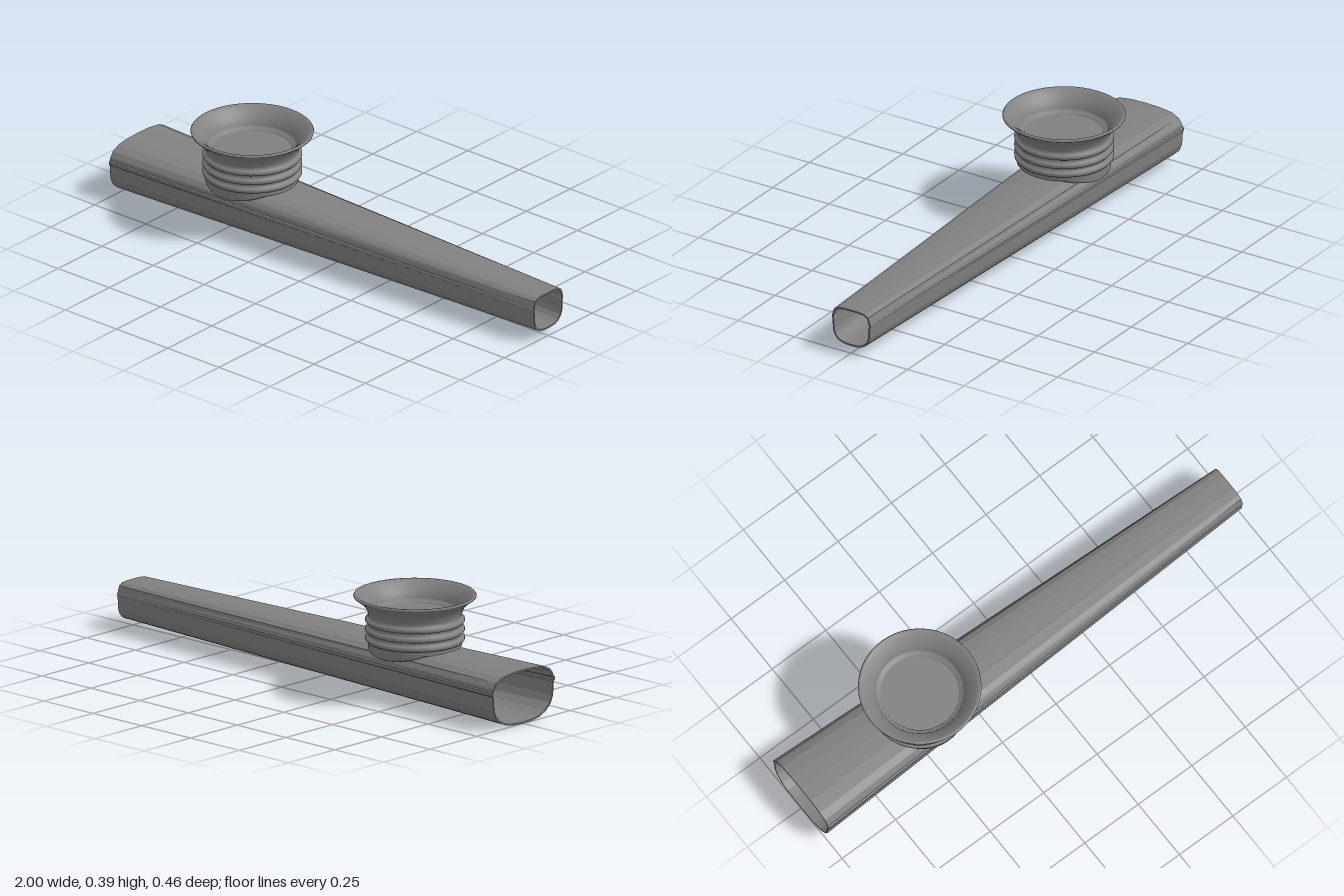
import * as THREE from 'three';

const metal = new THREE.MeshStandardMaterial({ color: 0x808080 });
metal.name = 'grey metal';
const facetedMetal = metal.clone();
facetedMetal.flatShading = true;

// Half cross-sections (z, y) from bottom centre, past the side seam, to top centre
const WIDE = [[0, .002], [.045, .004], [.085, .01], [.12, .026], [.147, .05], [.16, .08], [.164, .134], [.169, .138],
  [.169, .15], [.163, .154], [.16, .165], [.145, .185], [.115, .2], [.06, .207], [0, .209]];
const NARROW = [[0, .032], [.024, .033], [.042, .036], [.06, .045], [.073, .06], [.08, .08], [.083, .128], [.085, .131],
  [.085, .139], [.083, .142], [.081, .15], [.075, .167], [.06, .177], [.03, .18], [0, .18]];

// Full closed section, optionally shrunk towards its middle by a wall thickness
function section(half, wall) {
  const mirrored = half.slice(1, -1).reverse().map(([z, y]) => [-z, y]);
  const w = Math.max(...half.map(p => p[0]));
  const lo = half[0][1], hi = half[half.length - 1][1];
  const mid = (lo + hi) / 2, h = (hi - lo) / 2;
  return [...half, ...mirrored].map(([z, y]) => [z * (1 - wall / w), mid + (y - mid) * (1 - wall / h)]);
}

// Tapered open tube: outer wall, narrow rim, inner wall and wide rim in one loop of rings
function bodyGeometry() {
  const wall = 0.006;
  const rings = [[-1, section(WIDE, 0)], [1, section(NARROW, 0)], [1, section(NARROW, wall)], [-1, section(WIDE, wall)]];
  const n = rings[0][1].length;
  const positions = [], index = [];
  rings.forEach(([x, pts]) => pts.forEach(([z, y]) => positions.push(x, y, z)));
  for (let i = 0; i < 4; i++) {
    for (let j = 0; j < n; j++) {
      const i2 = (i + 1) % 4, j2 = (j + 1) % n;
      const a = i * n + j, b = i2 * n + j, c = i2 * n + j2, d = i * n + j2;
      index.push(a, b, c, a, c, d);
    }
  }
  const geo = new THREE.BufferGeometry();
  geo.setAttribute('position', new THREE.Float32BufferAttribute(positions, 3));
  geo.setIndex(index);
  const flat = geo.toNonIndexed();
  flat.computeVertexNormals();
  return flat;
}

const lathe = pts => new THREE.LatheGeometry(pts.map(([r, y]) => new THREE.Vector2(r, y)), 48);

export function createModel() {
  const model = new THREE.Group();
  model.name = 'kazoo';
  const add = (name, geo, mat, parent) => {
    const mesh = new THREE.Mesh(geo, mat);
    mesh.name = name;
    parent.add(mesh);
  };

  add('body', bodyGeometry(), facetedMetal, model);

  const turret = new THREE.Group();
  turret.name = 'turret';
  turret.position.x = -0.445;
  model.add(turret);

  // Cup wall with three rounded thread ridges, flared rim and inner funnel
  const cup = [[.174, .2], [.172, .214]];
  for (const y of [.228, .263, .299]) {
    cup.push([.173, y - .012], [.181, y - .009], [.185, y - .004], [.185, y + .004], [.181, y + .009], [.173, y + .012]);
  }
  cup.push([.174, .322], [.179, .338], [.189, .355], [.205, .371], [.221, .382], [.228, .387], [.229, .391], [.226, .395],
    [.219, .395], [.205, .385], [.185, .368], [.171, .35], [.164, .335], [.162, .328], [.148, .325], [.145, .318]);
  add('cup', lathe(cup), metal, turret);

  // Membrane disc closing the cup
  const membrane = new THREE.CircleGeometry(.146, 48).rotateX(-Math.PI / 2).translate(0, .319, 0);
  add('membrane', membrane, metal, turret);

  // Saddle skirt whose lower edge bends down over the body
  const skirt = lathe([[.11, 0], [.145, 0], [.162, .003], [.171, .01], [.175, .018], [.174, .04]]);
  const p = skirt.attributes.position;
  for (let i = 0; i < p.count; i++) {
    const y = p.getY(i), z = p.getZ(i);
    const drop = y > .03 ? 0 : .03 * Math.min(1.1, (z / .16) ** 2);
    p.setY(i, .198 + y - drop);
  }
  skirt.computeVertexNormals();
  add('skirt', skirt, metal, turret);

  return model;
}
